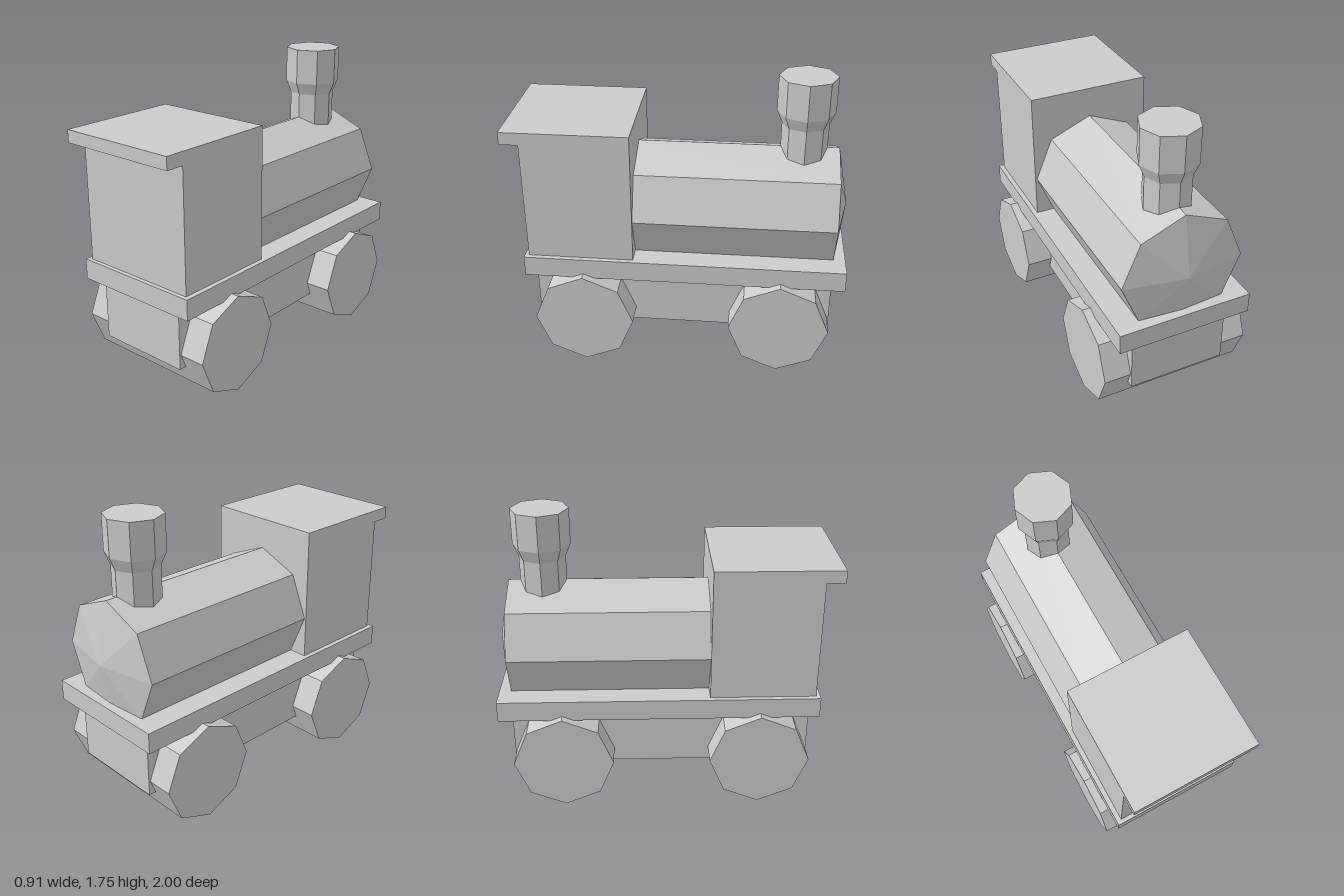
import * as THREE from 'three';

const SIDES = 8;

export function createModel() {
  const model = new THREE.Group();
  model.name = 'toyLocomotive';
  const material = new THREE.MeshStandardMaterial({ color: 0xcccccc, flatShading: true });

  const add = (name, geometry, x, y, z) => {
    const mesh = new THREE.Mesh(geometry, material);
    mesh.name = name;
    mesh.position.set(x, y, z);
    model.add(mesh);
    return mesh;
  };

  // Box given by its width and its y and z ranges, centred on x
  const addBox = (name, width, y0, y1, z0, z1) =>
    add(name, new THREE.BoxGeometry(width, y1 - y0, z1 - z0), 0, (y0 + y1) / 2, (z0 + z1) / 2);

  // Underframe and running board
  addBox('chassis', 0.59, 0.215, 0.6, -0.93, 0.87);
  addBox('platform', 0.81, 0.575, 0.7, -1, 0.915);

  // Octagonal wheel rollers running the full width
  for (const [name, z] of [['frontWheels', 0.56], ['backWheels', -0.62]]) {
    const roller = new THREE.CylinderGeometry(0.3, 0.3, 0.91, SIDES).rotateZ(Math.PI / 2);
    add(name, roller, 0, 0.303, z);
  }

  // Cab with overhanging roof lip, extruded across from its side outline
  const outline = new THREE.Shape([
    [0.26, 0.7], [0.89, 0.7], [0.89, 1.425], [1, 1.425], [1, 1.5], [0.26, 1.5],
  ].map(([z, y]) => new THREE.Vector2(z, y)));
  const cab = new THREE.ExtrudeGeometry(outline, { depth: 0.75, bevelEnabled: false });
  cab.translate(0, 0, -0.375).rotateY(-Math.PI / 2);
  add('cab', cab, 0, 0, 0);

  // Boiler barrel and its shallow pointed nose
  const barrel = new THREE.CylinderGeometry(0.365, 0.365, 1.19, SIDES, 1, true).rotateX(-Math.PI / 2);
  add('boiler', barrel, 0, 0.95, -0.335);
  const nose = new THREE.ConeGeometry(0.365, 0.07, SIDES, 1, true).rotateX(-Math.PI / 2);
  add('boilerNose', nose, 0, 0.95, -0.965);

  // Flared chimney with a closed top
  const profile = [[0.138, 1.2], [0.138, 1.465], [0.17, 1.54], [0.17, 1.755], [0, 1.755]]
    .map(([r, y]) => new THREE.Vector2(r, y));
  add('chimney', new THREE.LatheGeometry(profile, SIDES), 0, 0, -0.72);

  return model;
}
